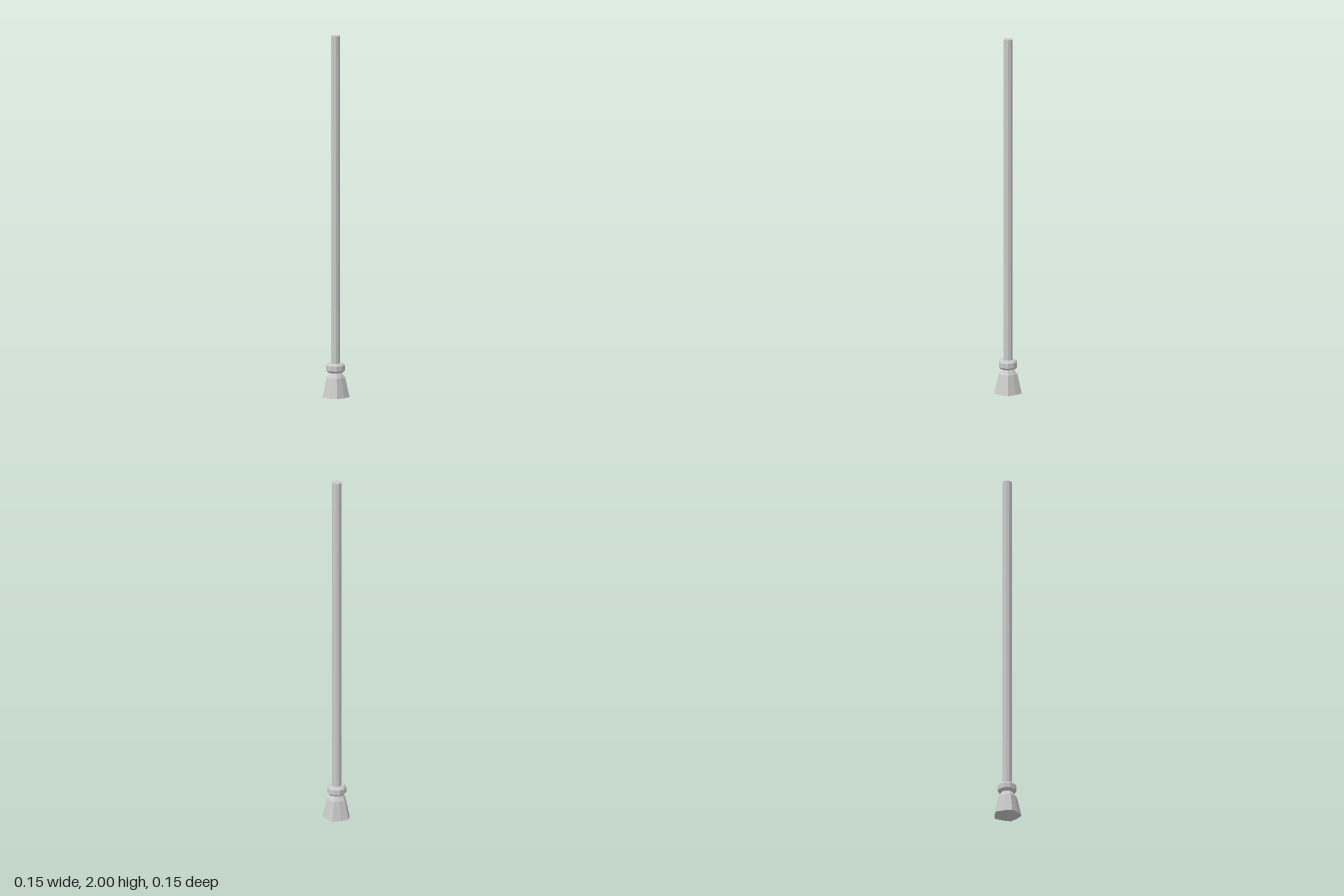
import * as THREE from 'three';

const SIDES = 10;
const AXIS_X = 0.005;

// Ten-sided turned part with a corner on the x axis; profile runs bottom to top as [radius, y].
function turned(name, profile) {
  const points = profile.map(([r, y]) => new THREE.Vector2(r, y));
  const geometry = new THREE.LatheGeometry(points, SIDES);
  geometry.rotateY(Math.PI / 2);
  const material = new THREE.MeshStandardMaterial({ color: 0xcccccc, flatShading: true });
  const mesh = new THREE.Mesh(geometry, material);
  mesh.name = name;
  mesh.position.x = AXIS_X;
  return mesh;
}

export function createModel() {
  const model = new THREE.Group();
  model.name = 'pole';

  // Long straight shaft
  model.add(turned('shaft', [[0, 0.13], [0.026, 0.13], [0.026, 2], [0, 2]]));

  // Chamfered collar
  model.add(turned('collar', [
    [0, 0.136], [0.042, 0.136], [0.052, 0.147], [0.052, 0.175], [0.042, 0.186], [0, 0.186],
  ]));

  // Flared foot: every second corner is pulled in, giving a five-pointed outline
  const foot = turned('flaredFoot', [[0, 0], [0.079, 0], [0.054, 0.108], [0.03, 0.14], [0, 0.14]]);
  const position = foot.geometry.attributes.position;
  for (let i = 0; i < position.count; i++) {
    const x = position.getX(i), z = position.getZ(i);
    const corner = Math.round(Math.atan2(z, x) / (Math.PI / 5));
    const pull = corner % 2 === 0 && position.getY(i) < 0.13 ? 0.88 : 1;
    position.setX(i, x * pull);
    position.setZ(i, z * pull);
  }
  foot.geometry.computeVertexNormals();
  model.add(foot);

  return model;
}
